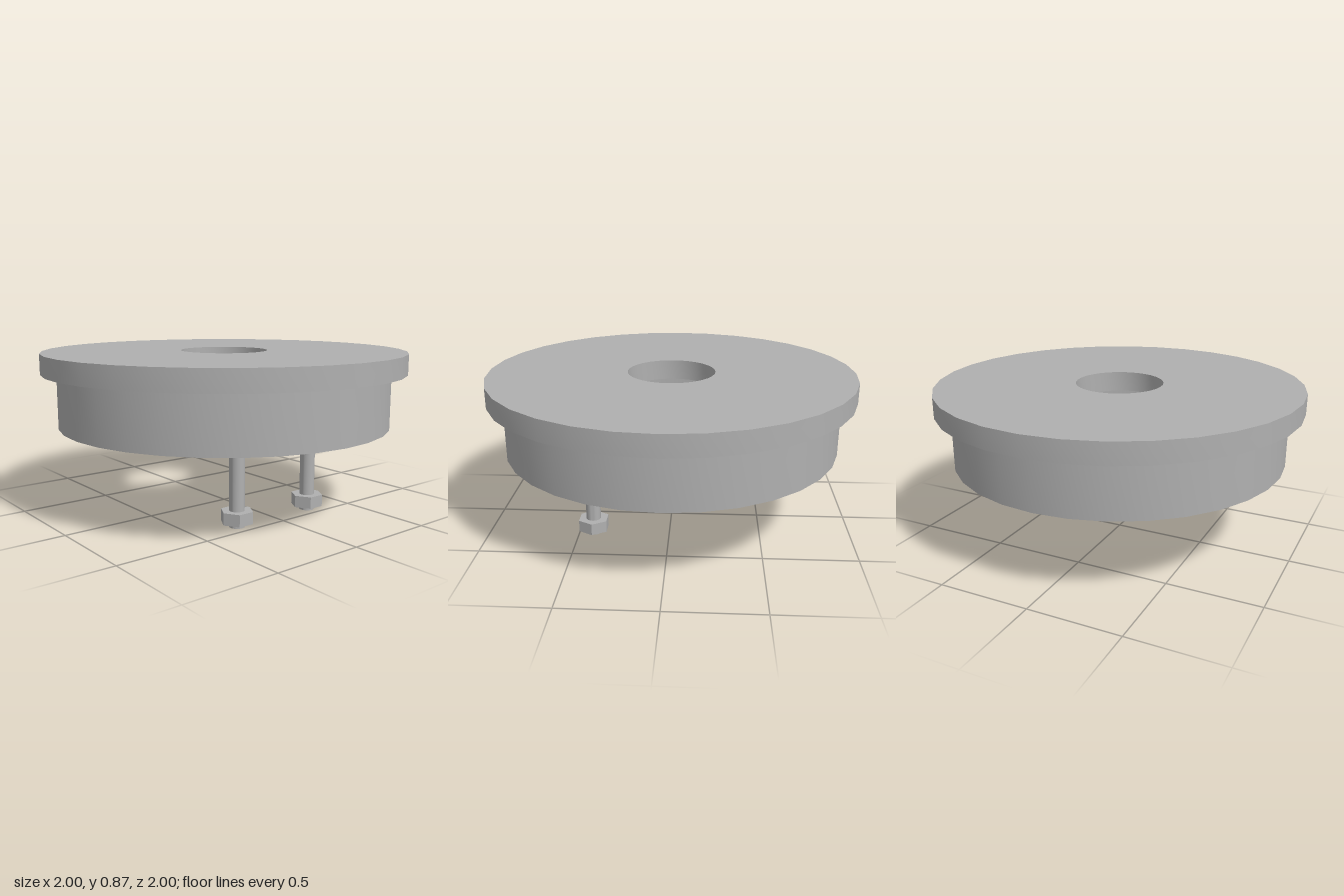
import * as THREE from 'three';
import { toCreasedNormals } from 'three/addons/utils/BufferGeometryUtils.js';

const steel = new THREE.MeshStandardMaterial({ color: 0xb0b0b0 });
steel.name = 'steel grey';

function part(name, geometry) {
  const mesh = new THREE.Mesh(toCreasedNormals(geometry, 0.6), steel);
  mesh.name = name;
  return mesh;
}

// Hollow round body with a rectangular section
function annulus(name, inner, outer, y0, y1) {
  const section = [[inner, y0], [outer, y0], [outer, y1], [inner, y1], [inner, y0]];
  return part(name, new THREE.LatheGeometry(section.map(([x, y]) => new THREE.Vector2(x, y)), 32));
}

// Upright cylinder or prism between two heights
function post(name, radius, y0, y1, sides = 32, turn = 0) {
  const geometry = new THREE.CylinderGeometry(radius, radius, y1 - y0, sides, 1, false, turn);
  return part(name, geometry.translate(0, (y0 + y1) / 2, 0));
}

// Bolt with round head, hex nut and a clamp plate reaching into the collar wall
function clamp(side) {
  const group = new THREE.Group();
  group.name = side > 0 ? 'leftClamp' : 'rightClamp';
  group.position.set(side * 0.25, 0, 0.42);
  group.add(
    post('boltShaft', 0.04, 0, 0.52),
    post('boltHead', 0.08, 0.51, 0.61),
    post('hexNut', 0.087, 0.023, 0.087, 6, Math.PI / 6)
  );
  const plate = part('clampPlate', new THREE.BoxGeometry(0.32, 0.05, 0.34));
  plate.position.set(side * 0.07, 0.487, 0.08);
  group.add(plate);
  return group;
}

export function createModel() {
  const model = new THREE.Group();
  model.name = 'flangedCover';
  model.add(
    annulus('coverDisc', 0.24, 1, 0.755, 0.865),
    annulus('collar', 0.746, 0.917, 0.46, 0.755),
    clamp(1),
    clamp(-1)
  );
  return model;
}
